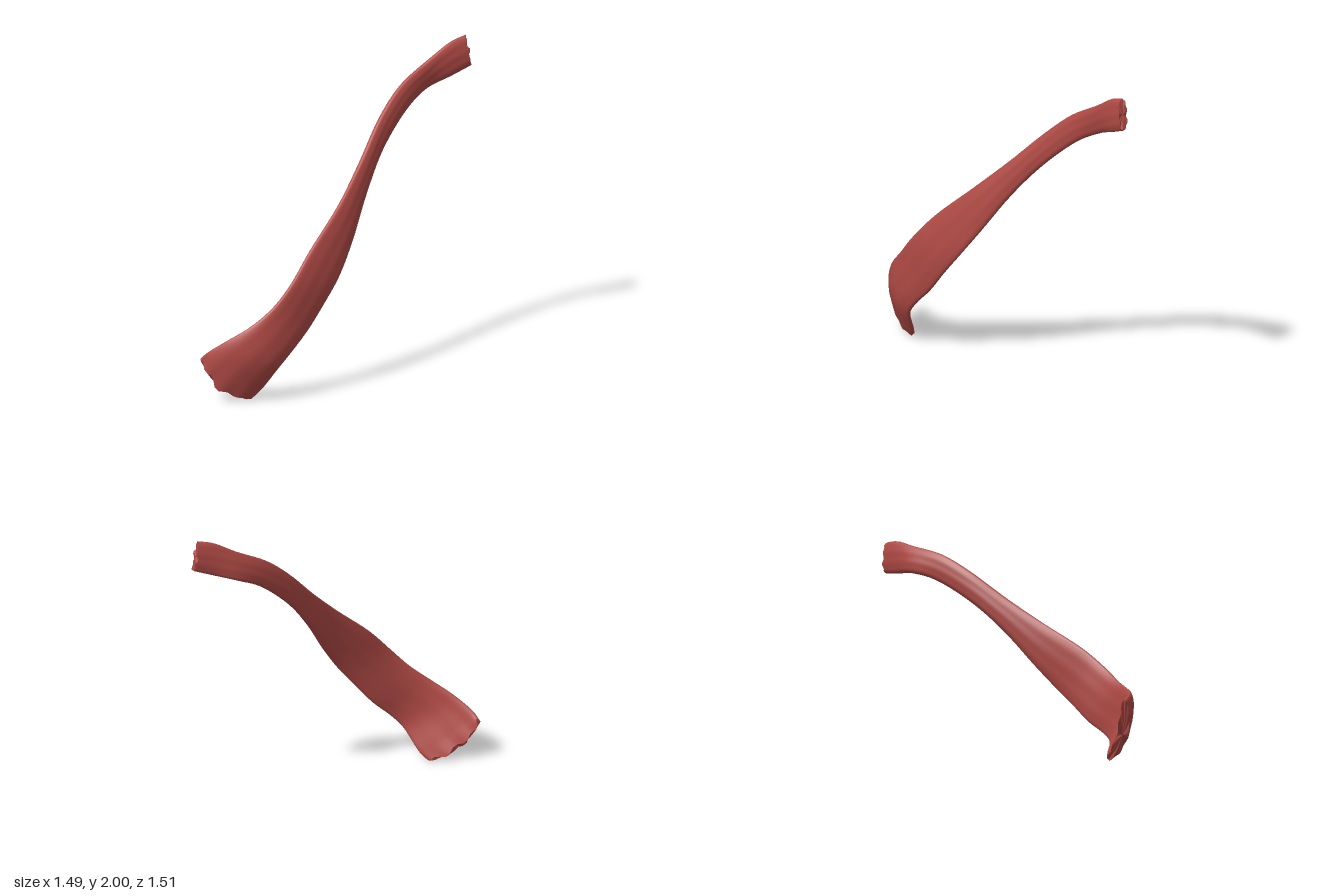
import * as THREE from 'three';

// Paired points along the two long edges of the strap, lower end first
const UPPER_EDGE = [
  [-0.74, 0.28, 0.68], [-0.70, 0.32, 0.70], [-0.57, 0.41, 0.72], [-0.43, 0.50, 0.71],
  [-0.30, 0.61, 0.66], [-0.20, 0.74, 0.59], [-0.10, 0.92, 0.45], [0.05, 1.16, 0.21],
  [0.15, 1.37, -0.01], [0.25, 1.61, -0.25], [0.35, 1.76, -0.41], [0.50, 1.88, -0.57],
  [0.62, 1.97, -0.67], [0.70, 2.0, -0.73],
];
const LOWER_EDGE = [
  [-0.43, 0.01, 0.59], [-0.38, 0.06, 0.59], [-0.27, 0.21, 0.61], [-0.20, 0.30, 0.57],
  [-0.11, 0.42, 0.48], [-0.02, 0.57, 0.39], [0.06, 0.72, 0.29], [0.12, 0.90, 0.16],
  [0.18, 1.16, -0.03], [0.25, 1.38, -0.22], [0.38, 1.60, -0.45], [0.48, 1.69, -0.59],
  [0.62, 1.75, -0.67], [0.73, 1.80, -0.74],
];
const SIDES = 36;
const STEPS = 65;

const curve = (pts) => new THREE.CatmullRomCurve3(pts.map((p) => new THREE.Vector3(...p)));

function strapGeometry() {
  const upper = curve(UPPER_EDGE);
  const lower = curve(LOWER_EDGE);
  const centre = (t) => upper.getPoint(t).add(lower.getPoint(t)).multiplyScalar(0.5);

  // Rings as [position along the strap, scale]; repeated rings keep the end rims sharp
  const rings = [[0, 0], [0, 0.5], [0, 0.92], [0, 1]];
  for (let i = 0; i <= STEPS; i++) rings.push([i / STEPS, 1]);
  rings.push([1, 1], [1, 0.92], [1, 0.5], [1, 0]);

  const positions = [];
  const indices = [];
  rings.forEach(([t, scale], i) => {
    const mid = centre(t);
    const along = centre(Math.min(1, t + 0.015)).sub(centre(Math.max(0, t - 0.015))).normalize();
    const half = upper.getPoint(t).sub(mid);
    const out = along.clone().cross(half).normalize();
    const thick = 0.03 + 0.006 * Math.exp(-t * 6);
    const bow = 0.045 * (1 - THREE.MathUtils.smoothstep(t, 0.05, 0.4));
    const lowEnd = Math.exp(-t / 0.04);
    const topEnd = Math.exp((t - 1) / 0.02);

    for (let j = 0; j < SIDES; j++) {
      const a = (j / SIDES) * Math.PI * 2;
      const c = Math.cos(a) * scale;
      const s = Math.sin(a);
      // Shallow fibre grooves, stronger towards the frayed lower end
      const groove = 1 + (0.04 + 0.12 * lowEnd) * Math.sin(a * 9 + t * 7);
      const depth = Math.sign(s) * Math.abs(s) ** 0.85 * thick * groove * scale;
      const fray = 0.012 * Math.sin(a * 9 + 1) + 0.008 * Math.sin(a * 5);
      const shift = -lowEnd * (0.055 * (1 - c * c) + fray * scale) + topEnd * fray * 0.5 * scale;
      const p = mid.clone()
        .addScaledVector(half, c)
        .addScaledVector(out, depth + bow * (1 - c * c))
        .addScaledVector(along, shift);
      positions.push(p.x, Math.max(0, p.y), p.z);

      if (i < rings.length - 1) {
        const k = (j + 1) % SIDES;
        const r0 = i * SIDES;
        const r1 = r0 + SIDES;
        indices.push(r0 + j, r0 + k, r1 + j, r0 + k, r1 + k, r1 + j);
      }
    }
  });

  const geometry = new THREE.BufferGeometry();
  geometry.setAttribute('position', new THREE.Float32BufferAttribute(positions, 3));
  geometry.setIndex(indices);
  geometry.computeVertexNormals();
  return geometry;
}

export function createModel() {
  const group = new THREE.Group();
  group.name = 'muscle';
  const red = new THREE.MeshStandardMaterial({ color: 0xb04a45 });
  red.name = 'muscle red';

  // Flat twisted strap, fanned out at the lower end
  const strap = new THREE.Mesh(strapGeometry(), red);
  strap.name = 'muscleStrap';
  group.add(strap);
  return group;
}
